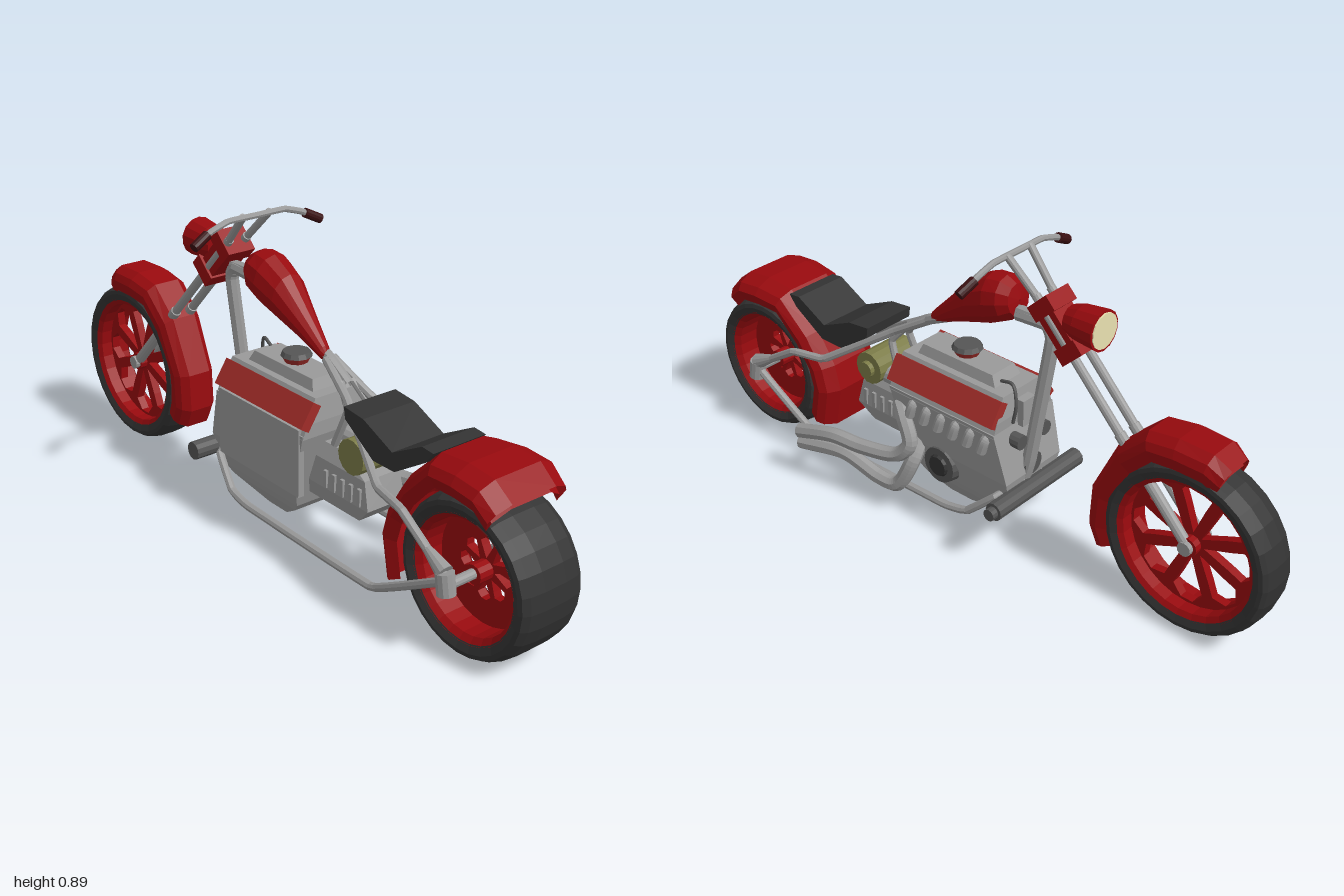
import * as THREE from 'three';
import { ConvexGeometry } from 'three/addons/geometries/ConvexGeometry.js';

const mat = (color) => new THREE.MeshStandardMaterial({ color, flatShading: true, side: THREE.DoubleSide });
const V = (x, y, z) => new THREE.Vector3(x, y, z);

export function createModel() {
  const group = new THREE.Group();
  const bike = new THREE.Group();
  bike.name = 'motorcycle';
  bike.position.x = -0.015;
  group.add(bike);

  const metal = mat(0x999999), red = mat(0x980a0e), dark = mat(0x333333), steel = mat(0x555555);
  const cover = mat(0xa02c28), grip = mat(0x3a1012), lens = mat(0xe8e0b0), olive = mat(0x7c7c48);

  const add = (name, geo, m, x = 0, y = 0, z = 0) => {
    const mesh = new THREE.Mesh(geo, m);
    mesh.name = name;
    mesh.position.set(x, y, z);
    bike.add(mesh);
    return mesh;
  };
  const box = (name, m, w, h, d, x, y, z, rx = 0, rz = 0) => {
    const mesh = add(name, new THREE.BoxGeometry(w, h, d), m, x, y, z);
    mesh.rotation.set(rx, 0, rz);
    return mesh;
  };
  // Cylinder between two points
  const rod = (name, m, a, b, r0, r1 = r0, sides = 12) => {
    const d = b.clone().sub(a);
    const mesh = add(name, new THREE.CylinderGeometry(r1, r0, d.length(), sides), m);
    mesh.position.copy(a).addScaledVector(d, 0.5);
    mesh.quaternion.setFromUnitVectors(V(0, 1, 0), d.normalize());
    return mesh;
  };
  // Bent pipe through points, nearly straight between bends
  const pipe = (name, m, r, pts, tension = 0.15) => {
    const curve = new THREE.CatmullRomCurve3(pts.map((p) => V(...p)), false, 'catmullrom', tension);
    return add(name, new THREE.TubeGeometry(curve, pts.length * 8, r, 8), m);
  };
  // Closed rings of points joined into a surface
  const loft = (name, m, rows) => {
    const n = rows[0].length, idx = [];
    for (let i = 0; i < rows.length - 1; i++)
      for (let j = 0; j < n; j++) {
        const k = (j + 1) % n, a = i * n + j, b = i * n + k, c = a + n, d = b + n;
        idx.push(a, b, c, b, d, c);
      }
    const geo = new THREE.BufferGeometry().setFromPoints(rows.flat());
    geo.setIndex(idx);
    geo.computeVertexNormals();
    return add(name, geo, m);
  };
  // Side outline given as (z, y), extruded across x
  const slab = (name, m, pts, width, holes = []) => {
    const shape = new THREE.Shape(pts.map(([z, y]) => new THREE.Vector2(-z, y)));
    shape.holes = holes.map((h) => new THREE.Path(h.map(([z, y]) => new THREE.Vector2(-z, y))));
    const geo = new THREE.ExtrudeGeometry(shape, { depth: width, bevelEnabled: false });
    geo.translate(0, 0, -width / 2);
    geo.rotateY(Math.PI / 2);
    return add(name, geo, m);
  };
  const polar = (r, a) => [r * Math.cos(a), r * Math.sin(a)];

  // Wheels: lathed tyre and rim with a pierced spoke disc
  function wheel(name, y, z, R, rimR, w, holeIn, holeOut) {
    const lathe = (part, m, pts) => {
      const geo = new THREE.LatheGeometry(pts.map(([r, x]) => new THREE.Vector2(r, x)), 28);
      geo.rotateZ(Math.PI / 2);
      return add(name + part, geo, m, 0, y, z);
    };
    const e = R - rimR;
    lathe('Tyre', dark, [[rimR, -w * 0.9], [rimR + e * 0.45, -w], [R - e * 0.3, -w * 0.97], [R - 0.005, -w * 0.78], [R, -w * 0.35],
      [R, w * 0.35], [R - 0.005, w * 0.78], [R - e * 0.3, w * 0.97], [rimR + e * 0.45, w], [rimR, w * 0.9]]);
    lathe('Rim', red, [[rimR - 0.014, -w * 0.75], [rimR + 0.004, -w * 0.92], [rimR + 0.004, w * 0.92],
      [rimR - 0.014, w * 0.75], [rimR - 0.014, -w * 0.75]]);
    const outline = [], holes = [];
    for (let i = 0; i < 28; i++) outline.push(polar(rimR - 0.006, (i / 28) * Math.PI * 2));
    for (let i = 0; i < 8; i++) {
      const a = (i / 8) * Math.PI * 2, span = holeOut - holeIn;
      holes.push([[0, 0], [0.55, -0.25], [0.82, -0.29], [1, -0.1], [1, 0.1], [0.82, 0.29], [0.55, 0.25]]
        .map(([t, s]) => polar(holeIn + span * t, a + s)));
    }
    slab(name + 'Spokes', red, outline, 0.025, holes).position.set(0, y, z);
    rod(name + 'Hub', red, V(-w * 0.55, y, z), V(w * 0.55, y, z), 0.027);
  }
  wheel('rearWheel', 0.222, 0.785, 0.217, 0.167, 0.102, 0.03, 0.085);
  wheel('frontWheel', 0.265, -0.747, 0.25, 0.205, 0.064, 0.035, 0.183);

  // Fenders: arched cross-section swept over each wheel; stations are z, y, half width
  function fender(name, cy, cz, depth, stations) {
    loft(name, red, stations.map(([z, y, w]) => {
      const dir = V(0, cy - y, cz - z).normalize();
      return [[-0.9, 1], [-1, 0.55], [-0.88, 0.25], [-0.55, 0], [0.55, 0], [0.88, 0.25], [1, 0.55], [0.9, 1],
        [0.86, 0.65], [0.5, 0.25], [-0.5, 0.25], [-0.86, 0.65]]
        .map(([s, d]) => V(s * w, y, z).addScaledVector(dir, d * depth));
    }));
  }
  fender('rearFender', 0.222, 0.785, 0.075, [[0.91, 0.472, 0.132], [0.855, 0.515, 0.137], [0.77, 0.523, 0.135],
    [0.675, 0.513, 0.128], [0.57, 0.41, 0.12], [0.51, 0.31, 0.115], [0.49, 0.23, 0.115], [0.515, 0.1, 0.115]]);
  fender('frontFender', 0.265, -0.745, 0.075, [[-0.848, 0.545, 0.062], [-0.8, 0.575, 0.074], [-0.7, 0.578, 0.077],
    [-0.61, 0.563, 0.075], [-0.52, 0.477, 0.07], [-0.445, 0.315, 0.066], [-0.44, 0.2, 0.066], [-0.465, 0.14, 0.064]]);

  // Teardrop fuel tank: z, centre y, half width, half height
  const tank = [[0.17, 0.572, 0.004, 0.004], [0.155, 0.582, 0.018, 0.02], [0.08, 0.637, 0.036, 0.04], [0, 0.694, 0.057, 0.066],
    [-0.07, 0.725, 0.066, 0.073], [-0.115, 0.738, 0.062, 0.064], [-0.145, 0.742, 0.043, 0.045], [-0.15, 0.742, 0.002, 0.002]];
  loft('fuelTank', red, tank.map(([z, y, w, h]) => Array.from({ length: 12 }, (_, i) => {
    const [c, s] = polar(1, (i / 12) * Math.PI * 2);
    return V(c * w - 0.005, y + s * h, z + s * h * 0.15);
  })));

  // Saddle
  slab('seat', dark, [[0.665, 0.508], [0.625, 0.512], [0.52, 0.455], [0.41, 0.505], [0.335, 0.513], [0.34, 0.48],
    [0.45, 0.405], [0.53, 0.405], [0.64, 0.475]], 0.175);

  // Fork, handlebar, steering head and lamp
  const onFork = (x, t) => V(x, 0.895 - 0.63 * t, -0.14 - 0.605 * t);
  for (const s of [-1, 1]) {
    rod('forkTube', metal, onFork(s * 0.03, 0.15), onFork(s * 0.03, 1), 0.013);
    rod('forkSlider', metal, onFork(s * 0.03, 0.62), onFork(s * 0.03, 1), 0.016);
    rod('handlebarRiser', metal, onFork(s * 0.045, 0.01), onFork(s * 0.03, 0.17), 0.011);
    rod('grip', grip, V(s * 0.165, 0.863, -0.143), V(s * 0.215, 0.838, -0.135), 0.014);
  }
  pipe('handlebar', metal, 0.009, [[-0.2, 0.843, -0.138], [-0.155, 0.868, -0.143], [-0.095, 0.886, -0.145],
    [0, 0.886, -0.145], [0.095, 0.886, -0.145], [0.155, 0.868, -0.143], [0.2, 0.843, -0.138]]);
  rod('frontAxle', metal, V(-0.05, 0.265, -0.745), V(0.05, 0.265, -0.745), 0.02);
  const tilt = Math.atan2(0.605, 0.63);
  box('steeringHead', red, 0.075, 0.15, 0.062, 0, 0.728, -0.3, tilt);
  for (const t of [0.19, 0.34]) {
    const p = onFork(0, t);
    box('forkClamp', red, 0.09, 0.045, 0.082, 0, p.y, p.z - 0.005, tilt);
  }
  rod('headlampShell', red, V(0, 0.753, -0.325), V(0, 0.755, -0.36), 0.04, 0.05, 14);
  rod('headlampRing', red, V(0, 0.755, -0.36), V(0, 0.757, -0.428), 0.05, 0.057, 14);
  rod('headlampLens', lens, V(0, 0.757, -0.42), V(0, 0.757, -0.431), 0.05, 0.05, 14);

  // Frame
  pipe('backbone', metal, 0.016, [[0, 0.715, -0.26], [0, 0.715, -0.15], [0, 0.65, 0], [0, 0.57, 0.17], [0, 0.52, 0.25]]);
  pipe('downTube', metal, 0.02, [[0, 0.705, -0.15], [0, 0.71, -0.245], [0.002, 0.67, -0.268], [0.015, 0.28, -0.212], [0.02, 0.19, -0.19]]);
  for (const s of [-1, 1]) {
    pipe('lowerRail', metal, 0.012, [[s * 0.03, 0.215, -0.205], [s * 0.115, 0.19, -0.18], [s * 0.138, 0.11, -0.09],
      [s * 0.142, 0.095, -0.01], [s * 0.142, 0.09, 0.52], [s * 0.142, 0.235, 0.78]], 0.08);
    pipe('upperRail', metal, 0.012, [[s * 0.142, 0.245, 0.78], [s * 0.135, 0.352, 0.61], [s * 0.115, 0.36, 0.5],
      [s * 0.035, 0.5, 0.285], [s * 0.012, 0.57, 0.17]], 0.05);
    pipe('seatStrut', metal, 0.011, [[s * 0.02, 0.53, 0.24], [s * 0.035, 0.47, 0.29], [s * 0.045, 0.36, 0.25]]);
    rod('axleBracket', metal, V(s * 0.142, 0.2, 0.785), V(s * 0.142, 0.258, 0.775), 0.025);
    rod('bracketNeck', metal, V(s * 0.142, 0.256, 0.775), V(s * 0.139, 0.29, 0.71), 0.024, 0.012);
  }
  rod('rearAxle', metal, V(-0.14, 0.225, 0.785), V(0.14, 0.225, 0.785), 0.014);

  // Crankcase: hull of rectangles given as y, half width, front z, rear z
  const hull = (name, m, levels) => add(name, new ConvexGeometry(levels.flatMap(([y, w, f, b]) =>
    [V(-w, y, f), V(w, y, f), V(-w, y, b), V(w, y, b)])), m);
  hull('crankcase', metal, [[0.07, 0.05, -0.03, 0.05], [0.115, 0.075, -0.17, 0.12], [0.14, 0.085, -0.2, 0.14],
    [0.24, 0.115, -0.215, 0.17], [0.39, 0.125, -0.175, 0.215]]);
  hull('cylinderBlock', metal, [[0.38, 0.125, -0.175, 0.215], [0.42, 0.11, -0.175, 0.215], [0.485, 0.075, -0.165, 0.205]]);
  hull('intake', metal, [[0.48, 0.055, -0.12, 0.17], [0.515, 0.045, -0.1, 0.155]]);
  rod('filterBase', cover, V(0, 0.51, 0.03), V(0, 0.535, 0.03), 0.03, 0.043);
  rod('filterCap', steel, V(0, 0.533, 0.03), V(0, 0.546, 0.03), 0.045, 0.038);
  for (const s of [-1, 1])
    box('valveCover', cover, 0.078, 0.03, 0.39, s * 0.099, 0.44, 0.022, 0, -s * 1.0);

  // Plain panel on one side, exhaust ports and round covers on the other
  box('sidePanel', metal, 0.02, 0.2, 0.36, -0.118, 0.305, 0.02);
  for (let i = 0; i < 6; i++) {
    const z = -0.145 + i * 0.054;
    pipe('exhaustPort', metal, 0.015, [[0.1, 0.37, z], [0.124, 0.362, z], [0.13, 0.325, z + 0.01]], 0.4);
  }
  rod('sideCover', steel, V(0.08, 0.2, 0.03), V(0.122, 0.2, 0.03), 0.062, 0.055, 16);
  rod('sideCap', dark, V(0.12, 0.2, 0.03), V(0.13, 0.2, 0.03), 0.036, 0.03);

  // Front pulleys and small fittings
  for (const [x, y, r] of [[0, 0.26, 0.035], [-0.05, 0.35, 0.022], [0.05, 0.35, 0.022]])
    rod('pulley', steel, V(x, y, -0.17), V(x, y, -0.215), r);
  box('frontFitting', metal, 0.05, 0.08, 0.03, 0, 0.42, -0.18);
  pipe('hose', steel, 0.005, [[0.03, 0.5, -0.12], [0.04, 0.51, -0.17], [0.05, 0.46, -0.19], [0.05, 0.4, -0.18]], 0.5);

  // Gearbox and starter
  hull('gearbox', metal, [[0.18, 0.05, 0.1, 0.36], [0.23, 0.065, 0.1, 0.41], [0.31, 0.06, 0.1, 0.39], [0.35, 0.04, 0.1, 0.28]]);
  for (let i = 0; i < 5; i++) box('gearboxRib', metal, 0.14, 0.05, 0.012, 0, 0.26, 0.24 + i * 0.034);
  rod('starter', olive, V(-0.075, 0.37, 0.35), V(0.075, 0.37, 0.35), 0.05, 0.05, 14);
  rod('starterCap', olive, V(0.07, 0.37, 0.35), V(0.09, 0.37, 0.35), 0.025);
  rod('starterShaft', metal, V(0.03, 0.35, 0.2), V(0.03, 0.35, 0.31), 0.03);

  // Twin exhaust on one side
  pipe('upperExhaust', metal, 0.023, [[0.11, 0.335, 0.19], [0.135, 0.315, 0.15], [0.15, 0.25, 0.115], [0.165, 0.2, 0.16],
    [0.19, 0.19, 0.27], [0.21, 0.195, 0.37], [0.225, 0.162, 0.5]], 0.45);
  pipe('lowerExhaust', metal, 0.023, [[0.1, 0.24, 0.12], [0.145, 0.19, 0.11], [0.165, 0.105, 0.15],
    [0.175, 0.1, 0.22], [0.195, 0.14, 0.34], [0.222, 0.122, 0.5]], 0.45);

  // Foot rest bar
  rod('footBar', steel, V(-0.178, 0.195, -0.225), V(0.18, 0.195, -0.225), 0.027);
  rod('footBarTip', steel, V(0.18, 0.195, -0.225), V(0.2, 0.195, -0.225), 0.018);

  return group;
}
